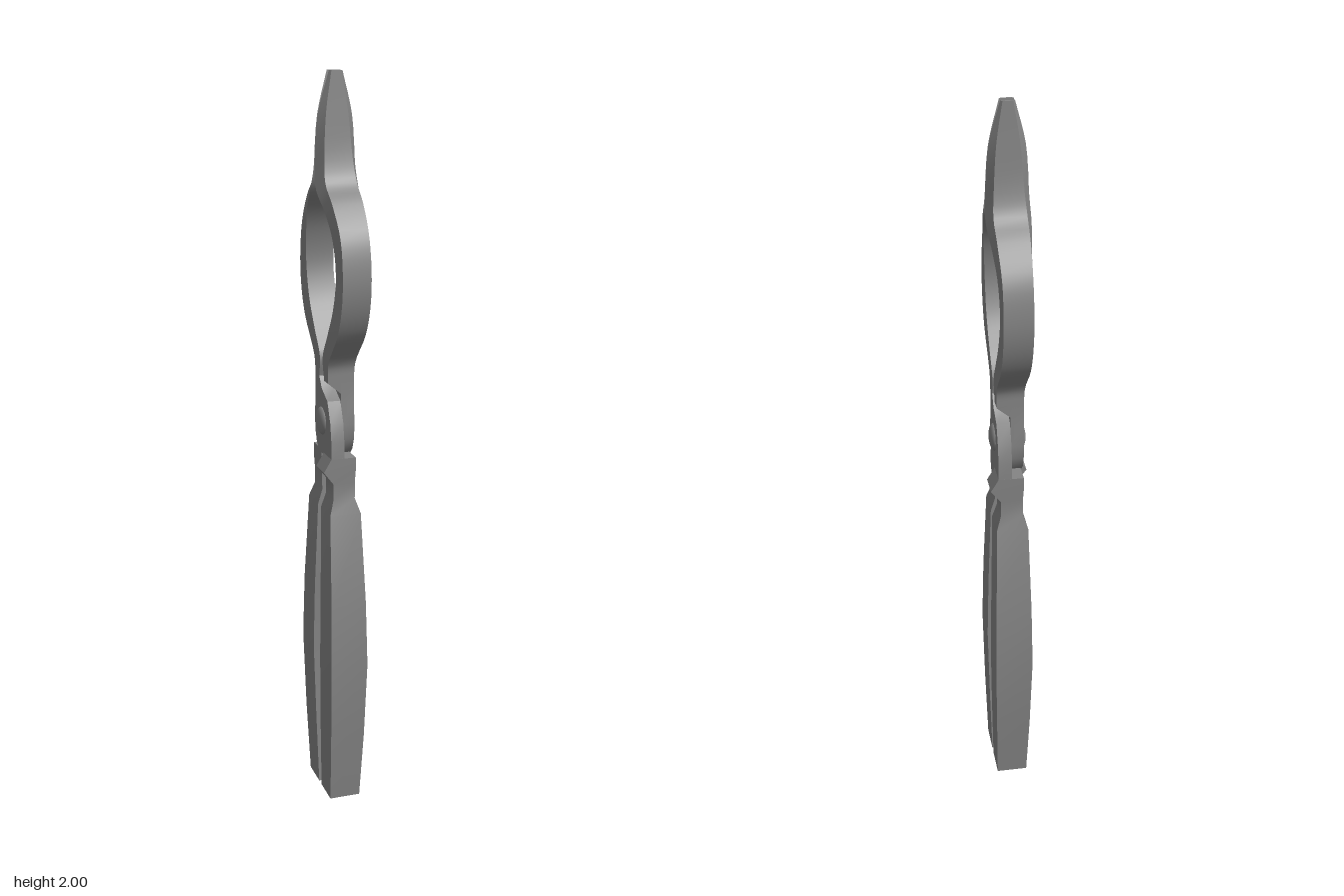
import * as THREE from 'three';
import { mergeVertices, toCreasedNormals } from 'three/addons/utils/BufferGeometryUtils.js';

const material = new THREE.MeshStandardMaterial({ color: 0x848484 });

function part(name, geometry) {
  const mesh = new THREE.Mesh(geometry, material);
  mesh.name = name;
  return mesh;
}

// Skin a bar from four-cornered cross-sections listed from bottom to top
function loft(rows, crease) {
  const index = [];
  for (let i = 0; i < rows.length - 1; i++) {
    for (let j = 0; j < 4; j++) {
      const a = i * 4 + j, b = i * 4 + (j + 1) % 4;
      index.push(a, b, b + 4, a, b + 4, a + 4);
    }
  }
  const t = (rows.length - 1) * 4;
  index.push(0, 2, 1, 0, 3, 2, t, t + 1, t + 2, t, t + 2, t + 3);
  const geo = new THREE.BufferGeometry();
  geo.setAttribute('position', new THREE.Float32BufferAttribute(rows.flat(2), 3));
  geo.setIndex(index);
  return toCreasedNormals(mergeVertices(geo), crease);
}

// Handle rows: y, outer z, inner z, half width on the free side, half width on the plate side
function handle() {
  const rows = [
    [0, 0.095, 0.011, 0.043, 0.043],
    [0.2, 0.118, 0.02, 0.048, 0.048],
    [0.42, 0.133, 0.03, 0.052, 0.052],
    [0.6, 0.125, 0.027, 0.049, 0.049],
    [0.85, 0.096, 0.013, 0.043, 0.043],
    [0.89, 0.083, 0.016, 0.03, 0.03],
    [0.935, 0.083, 0.017, 0.03, 0.03],
    [0.97, 0.085, 0.017, 0.032, 0.057],
    [1.005, 0.085, 0.017, 0.032, 0.036],
  ];
  return part('handle', loft(rows.map(([y, out, inn, free, plate]) => [
    [plate, y, -inn], [plate, y, -out], [-free, y, -out], [-free, y, -inn],
  ]), 0.75));
}

// Jaw: outer and inner edge curves, each point being half width, y, z
function jaw() {
  const curve = (pts) => new THREE.CatmullRomCurve3(
    pts.map((p) => new THREE.Vector3(...p)), false, 'centripetal');
  const outer = curve([
    [0.036, 1.205, 0.055], [0.037, 1.255, 0.06], [0.038, 1.35, 0.142], [0.038, 1.42, 0.174],
    [0.038, 1.5, 0.184], [0.038, 1.6, 0.165], [0.041, 1.68, 0.106], [0.042, 1.725, 0.055],
    [0.038, 1.78, 0.034], [0.029, 1.9, 0.021], [0.013, 2, 0.015],
  ]);
  const inner = curve([
    [0.036, 1.205, 0.022], [0.037, 1.265, 0.012], [0.038, 1.33, 0.054], [0.038, 1.41, 0.104],
    [0.038, 1.5, 0.128], [0.042, 1.59, 0.113], [0.05, 1.655, 0.076], [0.057, 1.705, 0.025],
    [0.055, 1.76, 0.003], [0.046, 1.89, 0.002], [0.018, 2, 0.009],
  ]);
  // Sloped step under the neck, where it overhangs the other plate
  const rows = [[[0.036, 1.175, 0.055], [0.036, 1.175, 0.022], [0, 1.175, 0.022], [0, 1.175, 0.055]]];
  for (let i = 0; i <= 40; i++) {
    const o = outer.getPoint(i / 40), n = inner.getPoint(i / 40);
    rows.push([[o.x, o.y, o.z], [n.x, n.y, n.z], [-n.x, n.y, n.z], [-o.x, o.y, o.z]]);
  }
  return part('jaw', loft(rows, 0.5));
}

// Half-thickness pivot plate that crosses from handle to jaw, rounded off at its free corner
function pivotPlate() {
  const outline = [
    [0.022, 1.21], [0, 1.18], [-0.05, 1.155], [-0.075, 1.1], [-0.084, 1.05], [-0.085, 1.0],
    [0.025, 1.0], [0.045, 1.02], [0.057, 1.05], [0.061, 1.09], [0.055, 1.15], [0.055, 1.21],
  ];
  const shape = new THREE.Shape(outline.map((p) => new THREE.Vector2(...p)));
  const geo = new THREE.ExtrudeGeometry(shape, { depth: 0.036, bevelEnabled: false });
  geo.rotateY(-Math.PI / 2).translate(0.036, 0, 0);
  return part('pivotPlate', toCreasedNormals(geo, 0.6));
}

// Domed rivet head
function rivet() {
  const geo = new THREE.SphereGeometry(0.038, 24, 12);
  geo.scale(0.4, 1, 1).translate(0.034, 1.09, 0);
  return part('rivet', geo);
}

export function createModel() {
  const model = new THREE.Group();
  model.name = 'tongs';
  // The two levers are identical, turned half way round the upright axis
  for (let i = 0; i < 2; i++) {
    const lever = new THREE.Group();
    lever.name = i ? 'backLever' : 'frontLever';
    lever.add(handle(), pivotPlate(), jaw(), rivet());
    lever.rotation.y = i * Math.PI;
    model.add(lever);
  }
  return model;
}
